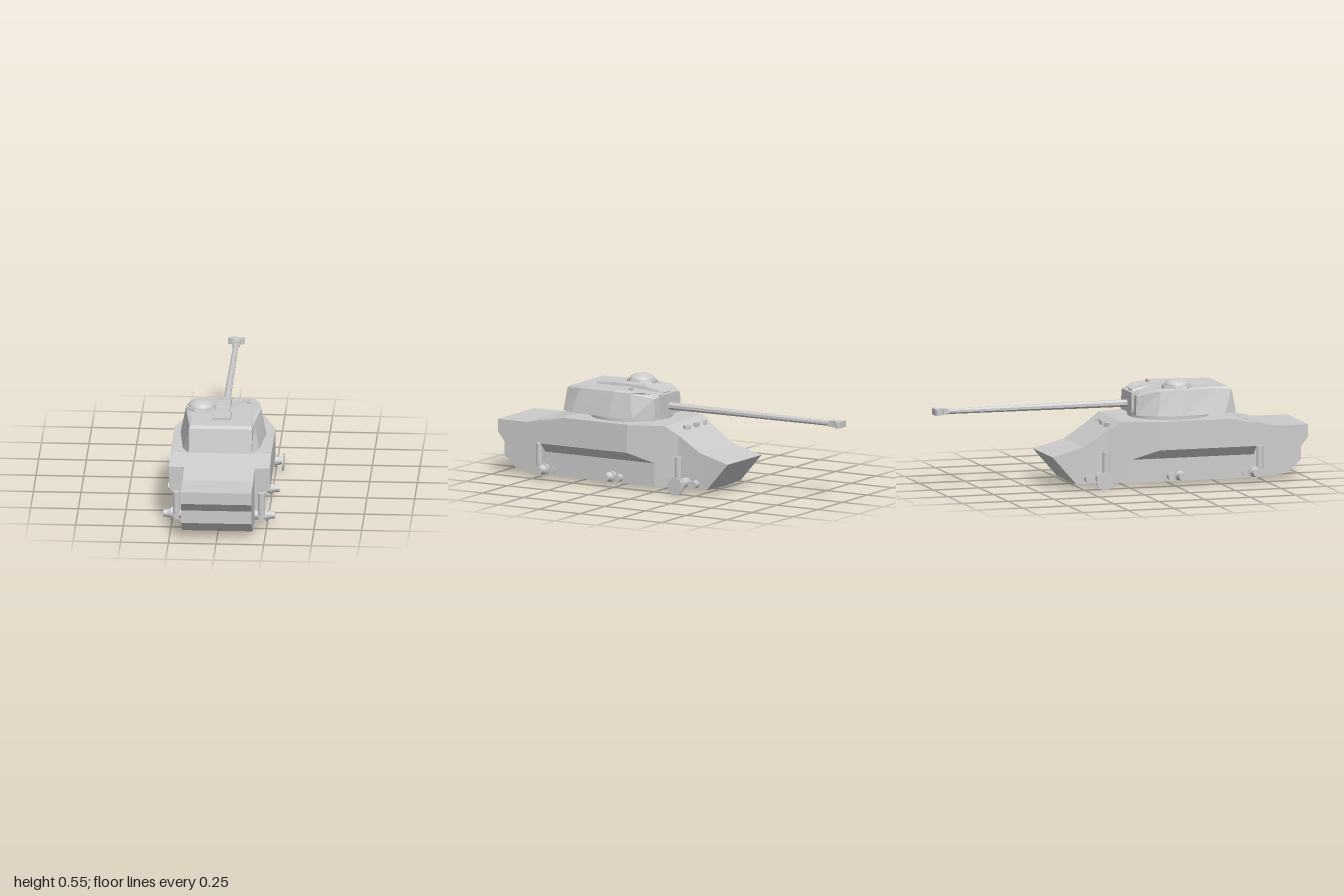
import * as THREE from 'three';

const mat = new THREE.MeshStandardMaterial({ color: 0xcccccc, flatShading: true });
const smooth = new THREE.MeshStandardMaterial({ color: 0xcccccc });

// Closed faceted solid through rings of [x, y, z] points
function loft(rings) {
  const tris = [];
  const n = rings[0].length;
  for (let r = 0; r + 1 < rings.length; r++) {
    for (let i = 0; i < n; i++) {
      const j = (i + 1) % n;
      const [a, b, c, d] = [rings[r][i], rings[r][j], rings[r + 1][j], rings[r + 1][i]];
      tris.push([a, b, c], [a, c, d]);
    }
  }
  const cap = (ring, flip) => {
    const mid = [0, 1, 2].map(k => ring.reduce((s, p) => s + p[k], 0) / n);
    ring.forEach((p, i) => {
      const q = ring[(i + 1) % n];
      tris.push(flip ? [mid, q, p] : [mid, p, q]);
    });
  };
  cap(rings[0], true);
  cap(rings[rings.length - 1], false);
  // Turn the faces outwards
  const v = p => new THREE.Vector3(...p);
  const volume = tris.reduce((s, [a, b, c]) => s + v(a).dot(v(b).cross(v(c))), 0);
  if (volume < 0) tris.forEach(t => t.reverse());
  const g = new THREE.BufferGeometry();
  g.setAttribute('position', new THREE.Float32BufferAttribute(tris.flat(2), 3));
  g.computeVertexNormals();
  return g;
}

const mirrorRing = half => [...half, ...half.filter(p => p[0] > 0).reverse().map(([x, y, z]) => [-x, y, z])];

function add(parent, name, geo, pos = [0, 0, 0], material = mat) {
  const m = new THREE.Mesh(geo, material);
  m.name = name;
  m.position.set(...pos);
  parent.add(m);
  return m;
}

const box = (w, h, d) => new THREE.BoxGeometry(w, h, d);
// Cylinder lying along x, from x0 to x1
const axle = (x0, x1, r0, r1 = r0, sides = 16) =>
  new THREE.CylinderGeometry(r1, r0, x1 - x0, sides).rotateZ(-Math.PI / 2).translate((x0 + x1) / 2, 0, 0);

function makeHull() {
  const hull = new THREE.Group();
  hull.name = 'hull';
  // Stations: z, top height, half width, sponson edge height, lower half width
  const stations = [
    [0.69, 0.314, 0.265, 0.195, 0.217],
    [0.55, 0.345, 0.265, 0.195, 0.217],
    [0.16, 0.345, 0.265, 0.195, 0.217],
    [0.02, 0.345, 0.217, 0.146, 0.217],
    [-0.03, 0.345, 0.2, 0.146, 0.2],
    [-0.1, 0.3, 0.174, 0.146, 0.174],
    [-0.23, 0.215, 0.17, 0.146, 0.17],
  ];
  const rings = stations.map(([z, top, w, edge, low]) =>
    mirrorRing([[w, top, z], [w, edge, z], [low, 0.145, z], [low, 0.022, z], [0, 0.006, z]]));
  // Sloping nose plate
  rings.push(mirrorRing([[0.17, 0.17, -0.4], [0.17, 0.147, -0.38], [0.17, 0.145, -0.378],
    [0.17, 0.022, -0.27], [0, 0.012, -0.26]]));
  add(hull, 'mainHull', loft(rings));

  // Narrow stern, spanned across x with a slight keel
  const stern = [[0.68, 0.317], [0.82, 0.285], [1, 0.285], [1, 0.22], [0.96, 0.17], [0.96, 0.1],
    [0.89, 0.035], [0.8, 0.02], [0.68, 0.022]];
  add(hull, 'stern', loft([-0.185, 0, 0.185].map(x =>
    stern.map(([z, y], i) => [x, x === 0 && i > 6 ? 0.006 : y, z]))));

  // Driver periscopes on the glacis
  for (const [x, turn] of [[-0.12, 0.5], [-0.035, 0], [0.06, -0.5]]) {
    const p = add(hull, 'driverPeriscope', box(0.035, 0.022, 0.02), [x, 0.322, -0.083]);
    p.rotation.y = turn;
  }
  return hull;
}

function makeTurret() {
  const turret = new THREE.Group();
  turret.name = 'turret';
  add(turret, 'turretRing', new THREE.CylinderGeometry(0.215, 0.215, 0.03, 40), [0, 0.355, 0.29], smooth);
  // Foot, shoulder and roof outlines, rear to front
  add(turret, 'turretShell', loft([
    [[0.165, 0.365, 0.61], [0.2, 0.365, 0.54], [0.225, 0.365, 0.3], [0.2, 0.365, 0.17], [0.13, 0.365, 0.07]],
    [[0.165, 0.49, 0.585], [0.172, 0.495, 0.5], [0.198, 0.5, 0.28], [0.185, 0.495, 0.19], [0.13, 0.468, 0.075]],
    [[0.16, 0.503, 0.565], [0.162, 0.505, 0.42], [0.186, 0.506, 0.27], [0.155, 0.5, 0.14], [0.12, 0.487, 0.1]],
  ].map(mirrorRing)));

  // Gun shield and roof ridge
  add(turret, 'mantlet', box(0.16, 0.105, 0.06), [-0.01, 0.428, 0.09]);
  const section = (z, y, w) => [[-w, 0.48, z], [-w * 0.85, y, z], [w * 0.85, y, z], [w, 0.48, z]];
  add(turret, 'roofRidge', loft([section(0.08, 0.488, 0.04), section(0.2, 0.513, 0.04), section(0.39, 0.516, 0.04)]));
  add(turret, 'roofPlate', loft([section(0.38, 0.516, 0.053), section(0.48, 0.514, 0.053)]));

  // Commander's cupola
  const base = add(turret, 'cupolaBase', new THREE.CylinderGeometry(0.078, 0.085, 0.025, 8), [-0.118, 0.506, 0.3]);
  base.rotation.y = Math.PI / 8;
  const dome = add(turret, 'cupolaDome',
    new THREE.SphereGeometry(0.068, 24, 8, 0, Math.PI * 2, 0, Math.PI / 2), [-0.116, 0.517, 0.3], smooth);
  dome.scale.y = 0.48;
  add(turret, 'roofPeriscope', box(0.028, 0.025, 0.014), [0.128, 0.503, 0.218]);
  add(turret, 'cupolaPeriscope', box(0.03, 0.025, 0.014), [-0.13, 0.503, 0.225]);

  // Gun barrel with a flared muzzle brake
  const barrel = new THREE.CylinderGeometry(0.014, 0.02, 1.04, 8).rotateY(Math.PI / 8).rotateX(-Math.PI / 2);
  add(turret, 'gunBarrel', barrel, [-0.003, 0.414, -0.45]);
  const brake = [[-0.925, 0.02], [-0.952, 0.02], [-0.953, 0.015], [-0.972, 0.022], [-0.98, 0.044], [-0.993, 0.044], [-1, 0.033]];
  add(turret, 'muzzleBrake', loft(brake.map(([z, w]) =>
    [[-w, 0.398, z], [w, 0.398, z], [w, 0.431, z], [-w, 0.431, z]])), [-0.003, 0, 0]);
  return turret;
}

// One suspension station for the +x side
function makeStation({ z, inner, pivot, damper, damperX, disc }) {
  const g = new THREE.Group();
  g.name = 'suspensionStation';
  const y = 0.055;
  add(g, 'hub', axle(inner, 0.255, 0.025), [0, y, z], smooth);
  add(g, 'hubFlange', axle(0.243, 0.252, 0.034), [0, y, z], smooth);
  add(g, 'hubTaper', axle(0.252, 0.275, 0.027, 0.018), [0, y, z], smooth);
  add(g, 'hubCap', axle(0.27, 0.292, 0.019), [0, y, z], smooth);
  add(g, 'armPivot', axle(inner, inner + 0.045, 0.02), [0, 0.05, pivot], smooth);
  add(g, 'swingArm', box(0.018, 0.028, Math.abs(z - pivot)), [inner + 0.03, 0.052, (z + pivot) / 2]);
  if (damper !== undefined) {
    add(g, 'damper', new THREE.CylinderGeometry(0.019, 0.019, 0.12, 12), [damperX, 0.129, damper], smooth);
    add(g, 'damperRod', new THREE.CylinderGeometry(0.01, 0.01, 0.04, 10), [damperX, 0.056, damper], smooth);
    add(g, 'damperFoot', box(0.03, 0.02, Math.abs(z - damper) + 0.02), [damperX, 0.05, (z + damper) / 2]);
  }
  if (disc) add(g, 'wheelDisc', axle(0.284, 0.292, 0.047, 0.047, 28), [0, 0.048, z], smooth);
  return g;
}

export function createModel() {
  const model = new THREE.Group();
  model.name = 'tank';
  model.add(makeHull(), makeTurret());

  const stations = [
    { z: 0.685, inner: 0.18, pivot: 0.645, damper: 0.722, damperX: 0.223 },
    { z: 0.275, inner: 0.205, pivot: 0.232 },
    { z: -0.15, inner: 0.16, pivot: -0.207, damper: -0.115, damperX: 0.198, disc: true },
  ];
  for (const s of stations) {
    const left = makeStation(s);
    // Half a turn about y, with z flipped back, gives the other side
    const right = makeStation({ ...s, z: -s.z, pivot: -s.pivot, damper: s.damper === undefined ? undefined : -s.damper });
    right.rotation.y = Math.PI;
    model.add(left, right);
  }
  return model;
}
